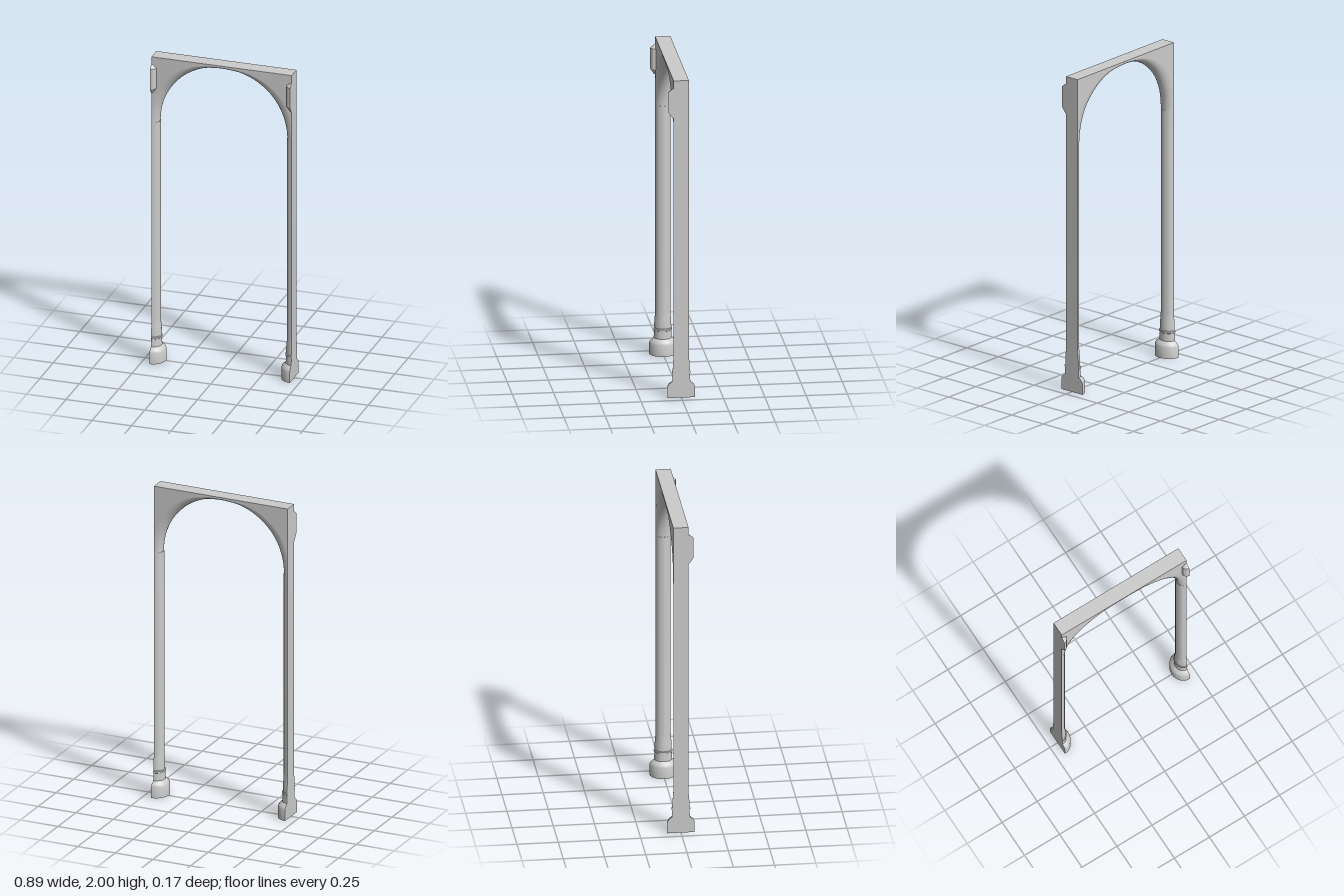
import * as THREE from 'three';
import { toCreasedNormals } from 'three/addons/utils/BufferGeometryUtils.js';

const HALF = 0.445;   // half width of the whole arch
const DEPTH = 0.046;  // half thickness
const SPRING = 1.57;  // height where the arch starts
const N = 28;         // steps per half arch

export function createModel() {
  const model = new THREE.Group();
  const mat = new THREE.MeshStandardMaterial({ color: 0xcccccc });
  const add = (parent, name, geo) => {
    const mesh = new THREE.Mesh(geo, mat);
    mesh.name = name;
    parent.add(mesh);
    return mesh;
  };
  const vecs = (list) => list.map(([x, y]) => new THREE.Vector2(x, y));

  // Half columns: base, neck ring, flare and shaft, flat on the outer side
  const profile = vecs([[0, 0], [0.083, 0], [0.083, 0.07], [0.077, 0.085], [0.055, 0.102],
    [0.052, 0.15], [0.057, 0.153], [0.057, 0.162], [0.052, 0.166], [0.051, 0.21],
    [0.047, 0.25], [DEPTH, 0.28], [DEPTH, SPRING], [0, SPRING]]);
  const columnGeo = toCreasedNormals(new THREE.LatheGeometry(profile, 14, Math.PI, Math.PI), 0.6);
  const outline = profile.concat(profile.slice(1, -1).reverse().map((p) => new THREE.Vector2(-p.x, p.y)));
  const sideGeo = new THREE.ShapeGeometry(new THREE.Shape(outline)).rotateY(Math.PI / 2);
  for (const side of [1, -1]) {
    const column = new THREE.Group();
    column.name = side > 0 ? 'leftColumn' : 'rightColumn';
    add(column, 'columnShaftAndBase', columnGeo).scale.x = 0.92;
    add(column, 'columnFlatSide', sideGeo);
    column.position.x = side * HALF;
    column.rotation.y = side > 0 ? 0 : Math.PI;
    model.add(column);
  }

  // Outer edge of the arch moulding on the faces, and its inner edge
  const edge = new THREE.SplineCurve(vecs([[0.443, SPRING], [0.436, 1.68], [0.405, 1.79],
    [0.345, 1.87], [0.26, 1.935], [0.15, 1.977], [0, 1.988]]));
  const outer = [], inner = [];
  for (let i = 0; i <= 2 * N; i++) {
    const mirror = i > N ? -1 : 1;
    const p = edge.getPoint((i > N ? 2 * N - i : i) / N);
    const a = (i / N) * Math.PI / 2;
    outer.push(new THREE.Vector2(p.x * mirror, p.y));
    inner.push(new THREE.Vector2(0.405 * Math.cos(a), SPRING + 0.406 * Math.sin(a)));
  }

  // Flat spandrel panel above the arch
  const panel = new THREE.Shape([...outer, ...vecs([[-HALF, SPRING], [-HALF, 2], [HALF, 2], [HALF, SPRING]])]);
  const panelGeo = new THREE.ExtrudeGeometry(panel, { depth: 2 * DEPTH, bevelEnabled: false });
  add(model, 'spandrelPanel', panelGeo.translate(0, 0, -DEPTH));

  // Rounded moulding that carries the column section around the arch
  const pos = [], index = [], M = 10;
  for (let i = 0; i <= 2 * N; i++) {
    for (let j = 0; j <= M; j++) {
      const phi = (j / M) * Math.PI;
      const p = outer[i].clone().lerp(inner[i], Math.sin(phi));
      pos.push(p.x, p.y, DEPTH * Math.cos(phi));
      if (i < 2 * N && j < M) {
        const a = i * (M + 1) + j, b = a + M + 1;
        index.push(a, b, a + 1, b, b + 1, a + 1);
      }
    }
  }
  const moulding = new THREE.BufferGeometry();
  moulding.setAttribute('position', new THREE.Float32BufferAttribute(pos, 3));
  moulding.setIndex(index);
  moulding.computeVertexNormals();
  add(model, 'archMoulding', moulding);

  // Faceted quarter studs on the front, at the upper corners
  const studProfile = vecs([[0, 1.76], [0.008, 1.765], [0.032, 1.8], [0.032, 1.93], [0.008, 1.95], [0, 1.952]]);
  for (const side of [1, -1]) {
    const start = side > 0 ? Math.PI * 1.5 : 0;
    const geo = toCreasedNormals(new THREE.LatheGeometry(studProfile, 3, start, Math.PI / 2), 0.3);
    const stud = new THREE.Group();
    stud.name = side > 0 ? 'leftStud' : 'rightStud';
    add(stud, 'studBody', geo);
    const cut = new THREE.ShapeGeometry(new THREE.Shape(
      studProfile.map((p) => new THREE.Vector2(-side * p.x, p.y))));
    add(stud, 'studFlatSide', cut.rotateY(side * Math.PI / 2));
    stud.position.set(side * HALF, 0, DEPTH - 0.001);
    model.add(stud);
  }
  return model;
}
